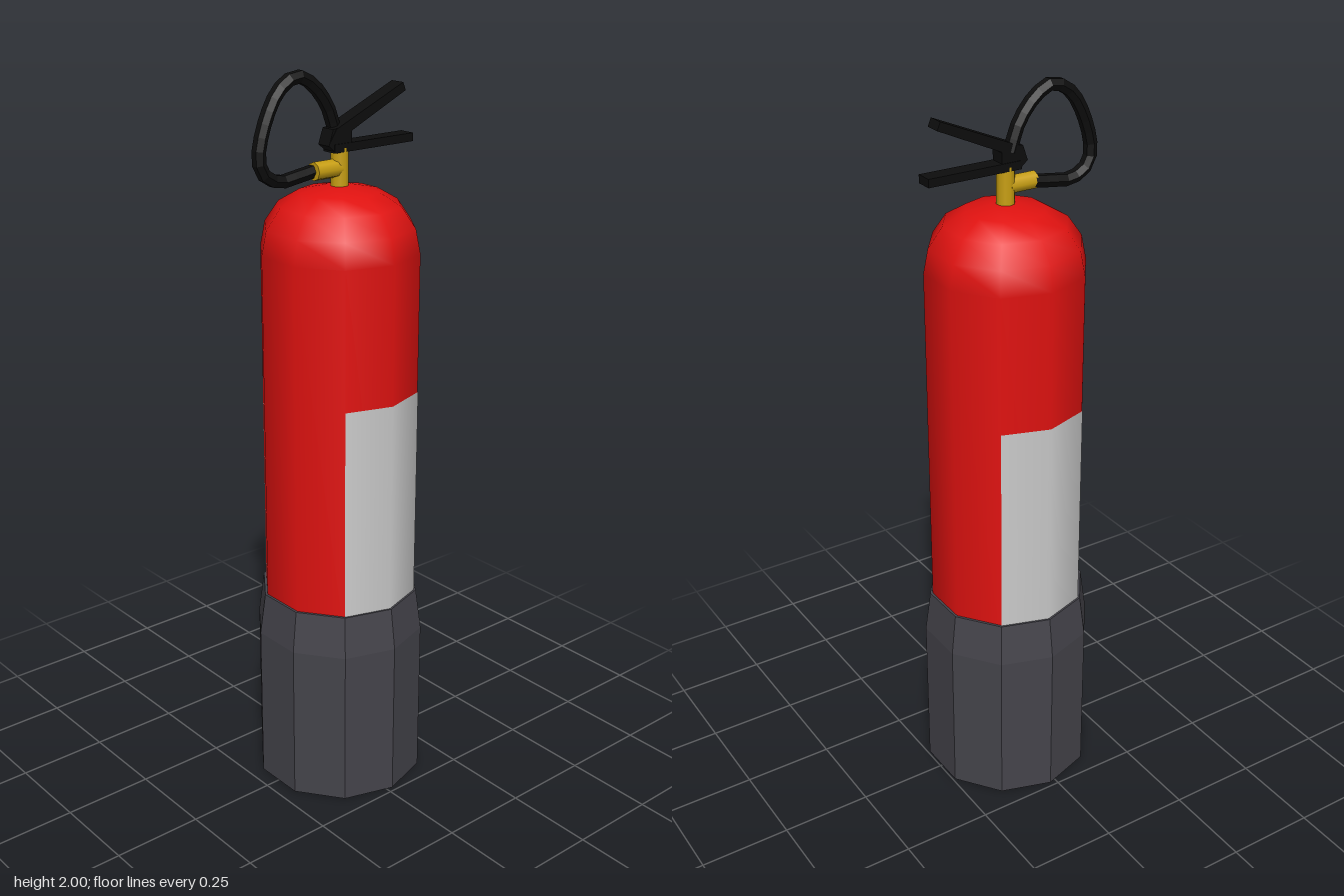
import * as THREE from 'three';

const SIDES = 10;
const AXIS_X = 0.018; // the tank stands slightly off centre

const material = (color, options = {}) => new THREE.MeshStandardMaterial({ color, ...options });

function addMesh(parent, name, geometry, mat, x = 0, y = 0, z = 0) {
  const mesh = new THREE.Mesh(geometry, mat);
  mesh.name = name;
  mesh.position.set(x, y, z);
  parent.add(mesh);
  return mesh;
}

const lathe = (points) =>
  new THREE.LatheGeometry(points.map(([r, y]) => new THREE.Vector2(r, y)), SIDES);

// Side outline in x and y, extruded evenly about z = 0
function plate(points, width) {
  const shape = new THREE.Shape(points.map(([x, y]) => new THREE.Vector2(x, y)));
  return new THREE.ExtrudeGeometry(shape, { depth: width, bevelEnabled: false })
    .translate(0, 0, -width / 2);
}

export function createModel() {
  const model = new THREE.Group();
  model.name = 'fireExtinguisher';

  const red = material(0xe01210);
  const rubber = material(0x45444b, { flatShading: true });
  const brass = material(0xc9a012);
  const black = material(0x0d0d0d, { flatShading: true });
  const grey = material(0xcccccc, { side: THREE.DoubleSide });

  // Tank with domed top
  addMesh(model, 'tank', lathe([
    [0.214, 0.5], [0.214, 1.53], [0.201, 1.595], [0.163, 1.65], [0.105, 1.684], [0.04, 1.697], [0, 1.698],
  ]), red, AXIS_X);

  // Faceted boot with tapered collar and narrow rim
  addMesh(model, 'boot', lathe([
    [0, 0], [0.237, 0], [0.237, 0.45], [0.221, 0.567], [0.213, 0.567],
  ]), rubber, AXIS_X);

  // Label panels, two faces wide, front and back
  const facet = (Math.PI * 2) / SIDES;
  [['frontLabel', 0], ['backLabel', Math.PI]].forEach(([name, angle]) => {
    const panel = new THREE.CylinderGeometry(0.2155, 0.2155, 0.588, 2, 1, true, angle - facet, facet * 2);
    addMesh(model, name, panel, grey, AXIS_X, 0.861);
  });

  // Valve stem and side outlet
  addMesh(model, 'valveStem', new THREE.CylinderGeometry(0.024, 0.024, 0.11, 10), brass, AXIS_X, 1.74);
  addMesh(model, 'hoseOutlet', new THREE.CylinderGeometry(0.024, 0.024, 0.08, 8).rotateZ(Math.PI / 2),
    brass, -0.027, 1.743);

  // Valve head and the two levers
  addMesh(model, 'valveHead', plate([
    [-0.034, 1.805], [-0.01, 1.785], [0.04, 1.785], [0.042, 1.835], [0.025, 1.852], [-0.02, 1.845],
  ], 0.042), black);
  addMesh(model, 'carryHandle', plate([
    [-0.016, 1.785], [0.25, 1.785], [0.25, 1.807], [-0.016, 1.807],
  ], 0.046), black);
  addMesh(model, 'squeezeLever', plate([
    [-0.03, 1.815], [0.0, 1.818], [0.222, 1.919], [0.213, 1.94], [-0.01, 1.845],
  ], 0.044), black);

  // Hose looping from the outlet up and back to the valve head
  const path = new THREE.CatmullRomCurve3([
    [-0.06, 1.743], [-0.115, 1.735], [-0.175, 1.73], [-0.222, 1.757], [-0.233, 1.8], [-0.206, 1.894],
    [-0.164, 1.957], [-0.111, 1.981], [-0.063, 1.957], [-0.016, 1.9], [0.01, 1.83],
  ].map(([x, y]) => new THREE.Vector3(x, y, -0.008)));
  addMesh(model, 'hose', new THREE.TubeGeometry(path, 20, 0.018, 6), black);

  return model;
}
